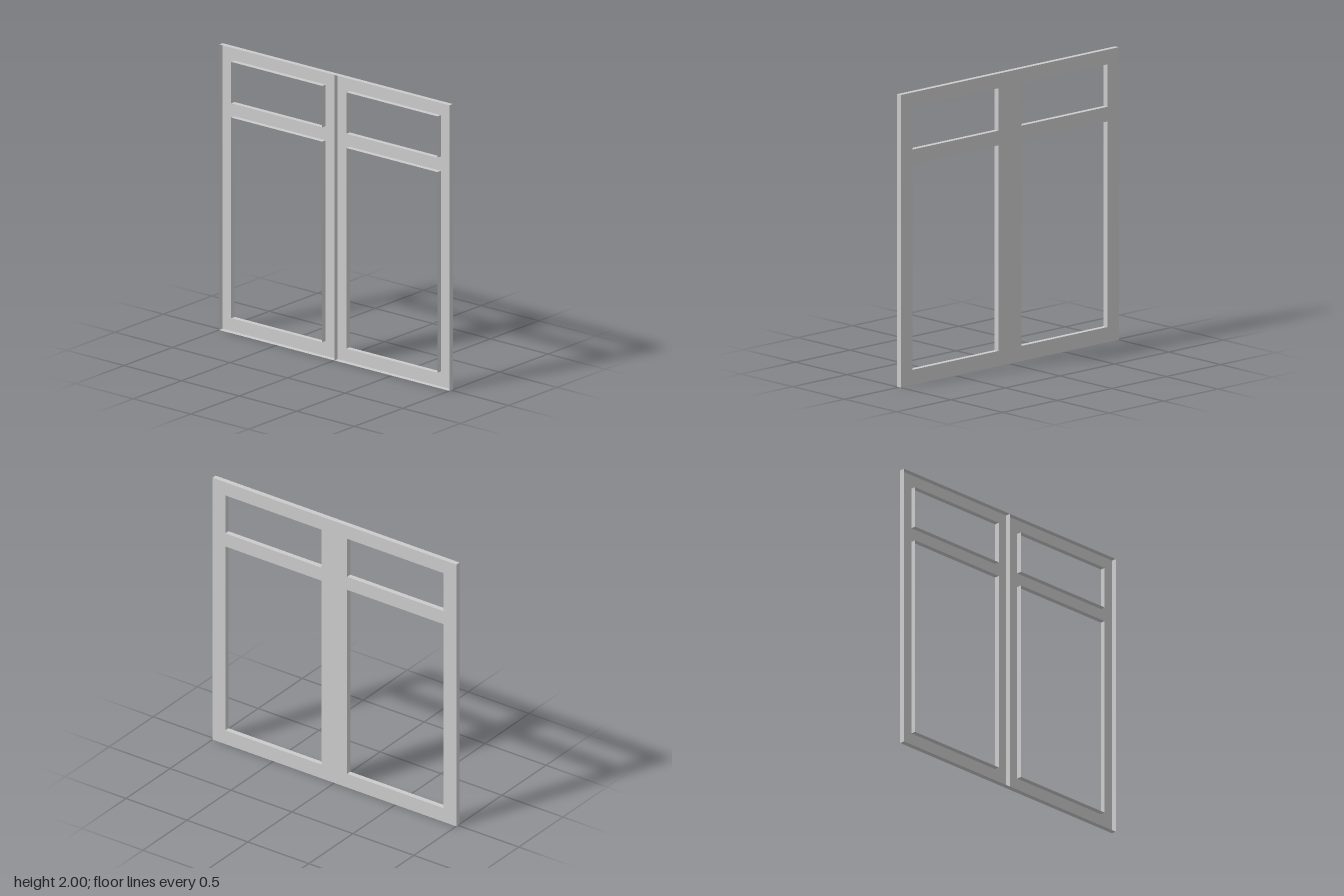
import * as THREE from 'three';

const DEPTH = 0.036;
const FRONT = DEPTH / 2, BACK = -DEPTH / 2;
const material = new THREE.MeshStandardMaterial({ color: 0xcccccc, side: THREE.DoubleSide });

// Anticlockwise rectangle in the plane of the window
const rect = (u0, y0, u1, y1) => [[u0, y0], [u1, y0], [u1, y1], [u0, y1]]
  .map(([u, y]) => new THREE.Vector2(u, y));

// Flat-shaded band of wall from the front plane to the back along a closed outline
function wallBand(points) {
  const pos = [];
  points.forEach((a, i) => {
    const b = points[(i + 1) % points.length];
    const quad = [[a, BACK], [b, BACK], [b, FRONT], [a, FRONT]];
    for (const k of [0, 1, 2, 0, 2, 3]) pos.push(quad[k][0].x, quad[k][0].y, quad[k][1]);
  });
  const geo = new THREE.BufferGeometry();
  geo.setAttribute('position', new THREE.Float32BufferAttribute(pos, 3));
  geo.computeVertexNormals();
  return geo;
}

// One casement leaf: pressed front with thin walls, hollow and open at the back
function casement(u0, name) {
  const leaf = new THREE.Group();
  leaf.name = name;
  const add = (geo, part) => {
    const mesh = new THREE.Mesh(geo, material);
    mesh.name = part;
    leaf.add(mesh);
  };

  const outline = rect(u0, 0, u0 + 1, 2);
  const openings = {
    lowerPane: rect(u0 + 0.105, 0.105, u0 + 0.895, 1.51),
    transom: rect(u0 + 0.105, 1.61, u0 + 0.895, 1.9),
  };

  // Front face with the two openings
  const shape = new THREE.Shape(outline);
  for (const pts of Object.values(openings)) shape.holes.push(new THREE.Path(pts));
  add(new THREE.ShapeGeometry(shape).translate(0, 0, FRONT), 'frameFace');

  // Outer rim and the reveals around the openings
  add(wallBand(outline), 'outerRim');
  for (const [key, pts] of Object.entries(openings)) add(wallBand([...pts].reverse()), key + 'Reveal');
  return leaf;
}

export function createModel() {
  const model = new THREE.Group();
  model.name = 'windowFrame';
  model.add(casement(-1, 'frontCasement'), casement(0, 'rearCasement'));
  // Turn the closed face towards +x
  model.rotation.y = Math.PI / 2;
  const root = new THREE.Group();
  root.name = 'doubleWindow';
  root.add(model);
  return root;
}
